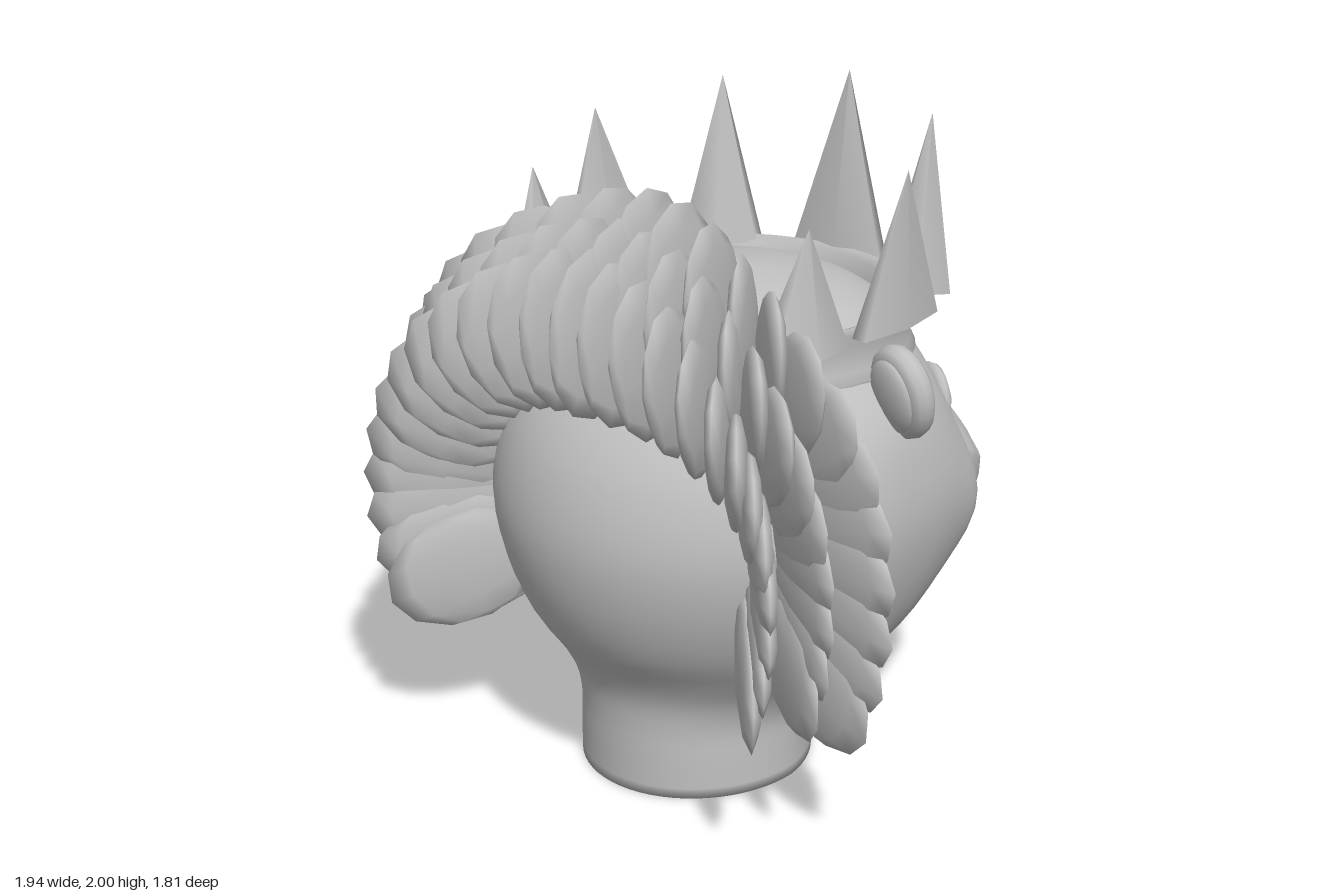
import * as THREE from 'three';

const stone = new THREE.MeshStandardMaterial({ color: 0xc0c0c0, side: THREE.DoubleSide });
stone.name = 'stone grey';

function add(parent, name, geo, pos = [0, 0, 0], scale = [1, 1, 1], rot = [0, 0, 0], order = 'XYZ') {
  const m = new THREE.Mesh(geo, stone);
  m.name = name;
  m.position.set(...pos);
  m.scale.set(...scale);
  m.rotation.set(...rot, order);
  parent.add(m);
  return m;
}

// Catmull-Rom refinement of the rows of a cross-section table
function refine(rows, steps) {
  const out = [];
  const at = i => rows[Math.min(rows.length - 1, Math.max(0, i))];
  for (let i = 0; i < rows.length - 1; i++) {
    for (let k = 0; k < steps; k++) {
      const t = k / steps;
      out.push(rows[i].map((p1, c) => {
        const p0 = at(i - 1)[c], p2 = at(i + 1)[c], p3 = at(i + 2)[c];
        return 0.5 * (2 * p1 + (p2 - p0) * t + (2 * p0 - 5 * p1 + 4 * p2 - p3) * t * t
          + (3 * p1 - p0 - 3 * p2 + p3) * t * t * t);
      }));
    }
  }
  out.push(at(rows.length - 1));
  return out;
}

// Skin a stack of closed rings; point(row, angle) gives each vertex
function loft(rows, sides, point) {
  const pos = [], idx = [];
  rows.forEach((row, i) => {
    for (let j = 0; j < sides; j++) {
      pos.push(...point(row, (j / sides) * Math.PI * 2));
      if (i === rows.length - 1) continue;
      const a = i * sides + j, b = i * sides + (j + 1) % sides;
      idx.push(a, a + sides, b, b, a + sides, b + sides);
    }
  });
  const g = new THREE.BufferGeometry();
  g.setAttribute('position', new THREE.Float32BufferAttribute(pos, 3));
  g.setIndex(idx);
  g.computeVertexNormals();
  return g;
}
const spow = (v, e) => Math.sign(v) * Math.abs(v) ** e;
const bell = (v, mid, width) => Math.exp(-(((v - mid) / width) ** 2));
const rad = Math.PI / 180;

export function createModel() {
  const group = new THREE.Group();
  const ball = new THREE.SphereGeometry(1, 24, 16);

  // Neck and skull: height, half width, back z, face z
  const head = refine([
    [0, 0.36, 0.65, -0.08], [0.12, 0.36, 0.65, -0.09], [0.22, 0.37, 0.65, -0.15],
    [0.31, 0.43, 0.66, -0.3], [0.4, 0.52, 0.7, -0.45], [0.52, 0.6, 0.78, -0.52],
    [0.68, 0.66, 0.84, -0.53], [0.86, 0.69, 0.86, -0.51], [1.04, 0.67, 0.82, -0.47],
    [1.18, 0.62, 0.74, -0.44], [1.3, 0.53, 0.62, -0.4], [1.41, 0.45, 0.51, -0.33],
    [1.49, 0.28, 0.34, -0.16], [1.53, 0, 0.09, 0.09],
  ], 3);
  head.unshift([0, 0, 0.28, 0.28]);
  add(group, 'head', loft(head, 64, ([y, w, zb, zf], t) => {
    const s = Math.sin(t), c = Math.cos(t), mid = zf + (zb - zf) * 0.48;
    // The face half is squarer at eye level, with cheeks swelling beside the mouth
    const e = s < 0 ? 1 - 0.36 * bell(y, 0.86, 0.36) : 1;
    const taper = 1 + 0.08 * Math.min(0, s);
    const z = mid + spow(s, e) * (s < 0 ? mid - zf : zb - mid);
    const cheek = 0.08 * c * bell(y, 0.72, 0.22) * bell(z, -0.42, 0.16);
    return [w * taper * spow(c, e) + cheek, y, z];
  }));

  // Upper muzzle and brow: z, half width, lower y, upper y
  const muzzle = refine([
    [-0.25, 0.54, 0.5, 1.24], [-0.41, 0.53, 0.51, 1.23], [-0.5, 0.5, 0.54, 1.12],
    [-0.58, 0.45, 0.57, 1.03], [-0.67, 0.375, 0.57, 0.965], [-0.76, 0.3, 0.56, 0.91],
    [-0.82, 0.23, 0.54, 0.89], [-0.855, 0.14, 0.57, 0.86], [-0.865, 0, 0.72, 0.72],
  ], 3);
  add(group, 'muzzle', loft(muzzle, 48, ([z, w, yb, yt], t) => {
    const up = Math.sin(t) > 0, peak = up ? 1 + 0.45 * bell(z, -0.5, 0.2) : 0.8;
    return [w * spow(Math.cos(t), peak), (yb + yt) / 2 + spow(Math.sin(t), peak) * (yt - yb) / 2, z];
  }));
  add(group, 'nose', ball, [0, 0.8, -0.815], [0.15, 0.1, 0.095]);
  add(group, 'lowerJaw', ball, [0, 0.28, -0.42], [0.3, 0.115, 0.24]);

  // Gums and rows of teeth along curved dental arches
  const arches = [
    { name: 'upper', y: 0.57, w: 0.25, z: -0.56, d: 0.26, dir: -1, reach: 1.4 },
    { name: 'lower', y: 0.35, w: 0.2, z: -0.42, d: 0.19, dir: 1, reach: 1.2 },
  ];
  for (const { name, y, w, z, d, dir, reach } of arches) {
    const at = (a, dy) => [w * Math.sin(a), y + dy, z - d * Math.cos(a)];
    const path = [];
    for (let i = -6; i <= 6; i++) path.push(new THREE.Vector3(...at(i * reach / 6, 0)));
    add(group, name + 'Gum', new THREE.TubeGeometry(new THREE.CatmullRomCurve3(path), 30, 0.026, 8));
    for (let i = -3; i <= 3; i++) {
      add(group, name + 'Tooth', new THREE.SphereGeometry(1, 8, 6), at(i * 0.27, dir * 0.035), [0.033, 0.045, 0.03]);
    }
    for (const s of [-1, 1]) {
      const len = dir < 0 ? 0.14 : 0.08;
      add(group, name + 'Fang', new THREE.ConeGeometry(0.03, len, 8), at(s * 1.08, dir * len / 2),
        [1, 1, 1], [dir < 0 ? Math.PI : 0, 0, 0]);
    }
  }

  for (const s of [-1, 1]) {
    // Eyes with a lid ring turned slightly outwards
    const eye = new THREE.Group();
    eye.name = 'eye';
    eye.position.set(s * 0.3, 0.98, -0.49);
    eye.rotation.y = -s * 0.5;
    add(eye, 'eyeball', ball, [0, 0, 0], [0.078, 0.088, 0.08]);
    add(eye, 'eyelids', new THREE.TorusGeometry(0.088, 0.022, 8, 20), [0, 0, -0.02], [1, 1.12, 1]);
    group.add(eye);

    // Ears: rolled rim around a shallow bowl, opening to the face
    const ear = new THREE.Group();
    ear.name = 'ear';
    ear.position.set(s * 0.625, 1.26, 0.11);
    ear.rotation.set(0.2, -s * 0.3, 0);
    add(ear, 'earRim', new THREE.TorusGeometry(0.09, 0.034, 10, 24), [0, 0, 0], [1, 1.18, 1.2]);
    add(ear, 'earBowl', ball, [0, 0, 0.035], [0.095, 0.115, 0.035]);
    group.add(ear);
  }

  // Crown band
  const band = [[0.9, 1.27], [1, 1.27], [1.03, 1.29], [1, 1.32], [0.99, 1.4], [1.03, 1.44], [1, 1.455], [0.93, 1.44], [0.9, 1.36]];
  add(group, 'crownBand', new THREE.LatheGeometry(band.map(p => new THREE.Vector2(...p)), 48),
    [0, 0, 0.09], [0.535, 1, 0.495]);

  // Crown spikes: x, z, tip height, half width, half thickness, facing angle
  const spike = new THREE.ConeGeometry(1, 1, 6).translate(0, 0.5, 0);
  const spikes = [[0, -0.425, 2, 0.195, 0.035, 180], [0.38, -0.305, 1.95, 0.14, 0.105, 150],
    [0.555, 0.05, 1.89, 0.205, 0.045, 90], [0.49, 0.4, 1.79, 0.155, 0.08, 78]];
  for (const [x, z, top, w, d, facing] of spikes) {
    for (const s of x ? [-1, 1] : [1]) {
      add(group, 'crownSpike', spike, [s * x, 1.43, z], [w, top - 1.43, d], [0.07, s * facing * rad, 0], 'YXZ');
    }
  }

  // Feather fan: three overlapping, staggered rows around the back of the head
  const feather = new THREE.SphereGeometry(1, 8, 6);
  const rows = [
    { r: 0.73, z: 0.55, heading: 15, len: 0.25, forward: 0.07, start: -25 },
    { r: 0.67, z: 0.63, heading: 32, len: 0.25, forward: 0.03, start: -21 },
    { r: 0.61, z: 0.72, heading: 47, len: 0.25, forward: 0, start: -25 },
  ];
  const count = 12;
  for (const { r, z, heading, len, forward, start } of rows) {
    for (let i = 0; i <= count; i++) {
      const a = (start + (90 - start) * i / count) * rad;
      const lift = Math.max(0, Math.sin(a));
      const h = (heading + (90 - heading) * lift ** 4) * rad;
      const tall = i === 0 ? 0.18 : 0.145 + 0.03 * lift;
      for (const s of i === count ? [1] : [-1, 1]) {
        add(group, 'feather', feather,
          [s * r * Math.cos(a), 0.85 + r * Math.sin(a), z - forward * lift],
          [len, tall, 0.036],
          [0, s > 0 ? -h : h - Math.PI, a], 'YXZ');
      }
    }
  }
  return group;
}
